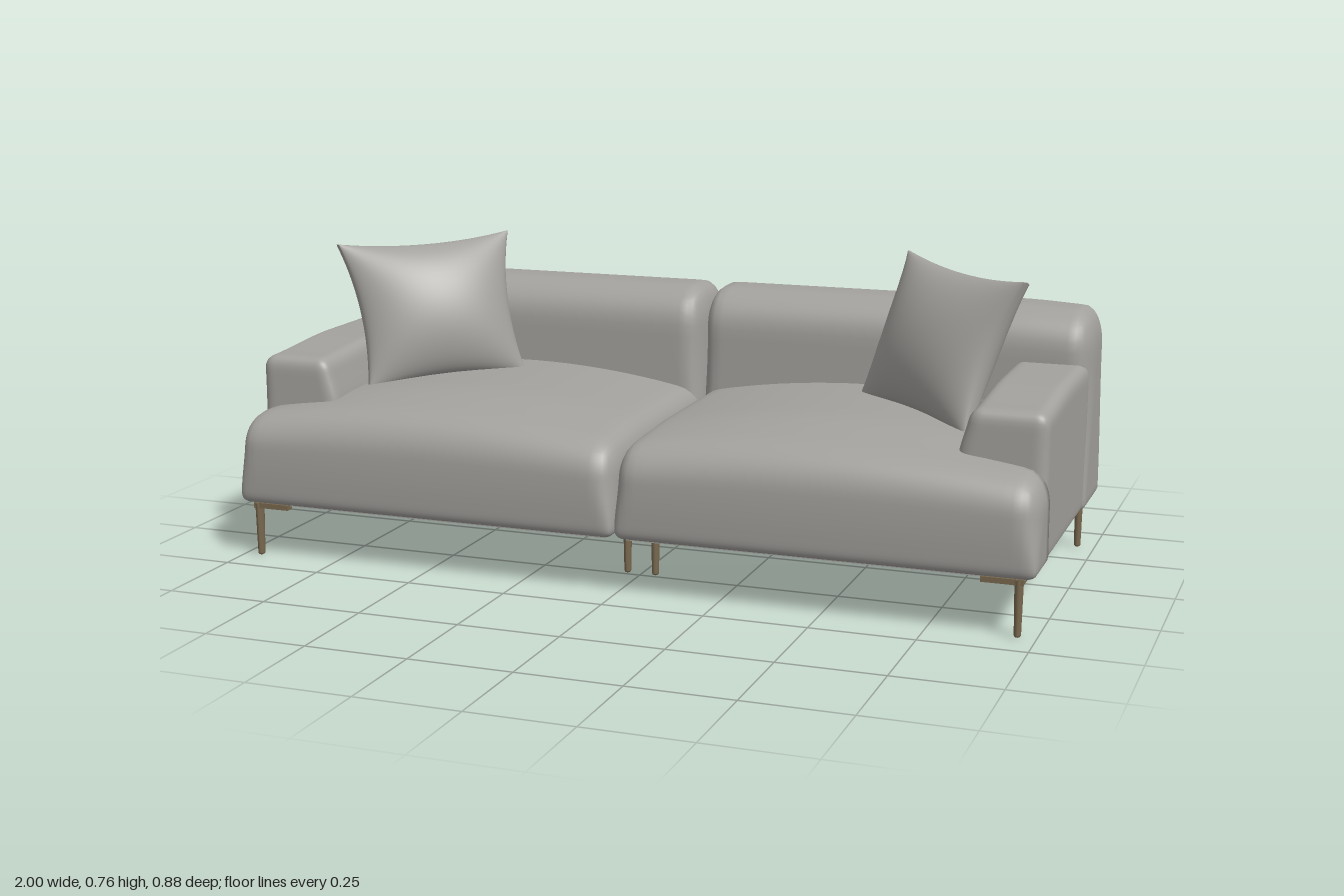
import * as THREE from 'three';
import { mergeVertices } from 'three/addons/utils/BufferGeometryUtils.js';

const fabric = new THREE.MeshStandardMaterial({ color: 0xa3a19d });
fabric.name = 'grey fabric';
const bronze = new THREE.MeshStandardMaterial({ color: 0x78684f });
bronze.name = 'bronze metal';

const { clamp, lerp, smoothstep } = THREE.MathUtils;

// Weld a geometry, move each vertex by a rule, then smooth its normals.
function shape(geometry, rule) {
  geometry.deleteAttribute('uv');
  geometry.deleteAttribute('normal');
  const geo = mergeVertices(geometry, 1e-5);
  const pos = geo.attributes.position;
  const p = new THREE.Vector3();
  for (let i = 0; i < pos.count; i++) {
    rule(p.fromBufferAttribute(pos, i));
    pos.setXYZ(i, p.x, p.y, p.z);
  }
  geo.computeVertexNormals();
  return geo;
}

// Upholstered block between two corners, with separate edge radii at top and bottom.
function softBox(min, max, topRadii, bottomRadii, rule = () => {}) {
  const half = max.map((v, i) => (v - min[i]) / 2);
  const mid = max.map((v, i) => (v + min[i]) / 2);
  return shape(new THREE.BoxGeometry(2, 2, 2, 32, 24, 28), (p) => {
    // gather the grid lines near the edges so the corners stay round
    const q = p.toArray().map((v) => Math.sin(v * Math.PI / 2));
    const t = smoothstep(q[1], -1, 0.5);
    const r = topRadii.map((v, i) => lerp(bottomRadii[i], v, t));
    const core = q.map((v, i) => clamp(v * half[i], r[i] - half[i], half[i] - r[i]));
    const off = q.map((v, i) => (v * half[i] - core[i]) / r[i]);
    const len = Math.hypot(...off) || 1;
    p.fromArray(core.map((v, i) => mid[i] + v + (off[i] / len) * r[i]));
    rule(p);
  });
}

// Mirror a geometry across x = 0, keeping its faces outward.
function mirrored(geometry) {
  const geo = geometry.clone();
  geo.scale(-1, 1, 1);
  const idx = geo.index;
  for (let i = 0; i < idx.count; i += 3) {
    const a = idx.getX(i);
    idx.setX(i, idx.getX(i + 2));
    idx.setX(i + 2, a);
  }
  geo.computeVertexNormals();
  return geo;
}

// Seat: crowned cushion, drawn in where it runs beneath the arm.
function seatGeometry() {
  return softBox([0, 0.137, -0.3], [1, 0.355, 0.437], [0.05, 0.075, 0.08], [0.025, 0.025, 0.02], (p) => {
    const up = smoothstep(p.y, 0.2, 0.355);
    const across = Math.max(0, 1 - ((p.x - 0.45) / 0.55) ** 2);
    const depth = smoothstep(p.z, 0.16, 0.5);
    p.y += up * (across * lerp(0.072, 0.03, depth) - 0.01 * (1 - p.x));
    if (p.z > 0) p.z += 0.006 * Math.sin((p.y - 0.137) / 0.22 * Math.PI) - 0.003;
    if (p.z < 0.29 && p.x > 0.85) p.x = 0.85 + (p.x - 0.85) * 0.3;
  });
}

// Backrest: domed top, rear face leaning in towards the floor.
function backGeometry() {
  return softBox([0, 0.137, -0.44], [1, 0.635, -0.183], [0.045, 0.1, 0.105], [0.03, 0.02, 0.03], (p) => {
    const rear = clamp((-0.183 - p.z) / 0.257, 0, 1);
    p.z += 0.04 * rear * (1 - smoothstep(p.y, 0.08, 0.5));
    p.y -= 0.008 * smoothstep(p.x, 0.8, 1) * smoothstep(p.y, 0.4, 0.63);
  });
}

// Arm: low block with an inward-leaning inner face and a gently sloping top.
function armGeometry() {
  return softBox([0.785, 0.137, -0.24], [0.993, 0.505, 0.31], [0.035, 0.035, 0.025], [0.02, 0.02, 0.015], (p) => {
    const up = smoothstep(p.y, 0.36, 0.505);
    p.x += 0.025 * up * clamp((0.993 - p.x) / 0.208, 0, 1);
    p.y -= 0.016 * up * smoothstep(p.z, 0, 0.31);
  });
}

// Pillow: pinched square spanned between four corners, full in the middle.
function pillowGeometry() {
  const v = (x, y, z) => new THREE.Vector3(x, y, z);
  const bottomIn = v(0.455, 0.405, -0.105), bottomOut = v(0.775, 0.385, 0.155);
  const topIn = v(0.545, 0.758, -0.203), topOut = v(0.89, 0.742, 0.085);
  const normal = v(-0.59, 0.41, 0.7).normalize();
  return shape(new THREE.BoxGeometry(2, 2, 2, 28, 28, 2), (p) => {
    const a = Math.sin(p.x * Math.PI / 2), b = Math.sin(p.y * Math.PI / 2), side = p.z;
    const rim = 1 + 0.012 * (1 - side * side);
    const s = (a * rim * (1 - 0.11 * (1 - b * b)) + 1) / 2;
    const t = (b * rim * (1 - 0.1 * (1 - a * a)) + 1) / 2;
    const thick = 0.009 + 0.078 * Math.pow((1 - a * a) * (1 - b * b), 0.6);
    const low = bottomIn.clone().lerp(bottomOut, s);
    const high = topIn.clone().lerp(topOut, s);
    p.copy(low.lerp(high, t)).addScaledVector(normal, side * thick);
  });
}

function plate(x0, x1, y0, y1, z0, z1) {
  const geo = new THREE.BoxGeometry(x1 - x0, y1 - y0, z1 - z0);
  geo.translate((x0 + x1) / 2, (y0 + y1) / 2, (z0 + z1) / 2);
  return geo;
}

export function createModel() {
  const model = new THREE.Group();
  model.name = 'twoSeatSofa';

  const left = new THREE.Group();
  const right = new THREE.Group();
  left.name = 'leftHalf';
  right.name = 'rightHalf';
  model.add(left, right);

  const addPair = (name, geometry, material) => {
    [[left, geometry], [right, mirrored(geometry)]].forEach(([group, geo]) => {
      const mesh = new THREE.Mesh(geo, material);
      mesh.name = name;
      group.add(mesh);
    });
  };

  addPair('seat', seatGeometry(), fabric);
  addPair('backrest', backGeometry(), fabric);
  addPair('arm', armGeometry(), fabric);
  addPair('pillow', pillowGeometry(), fabric);

  // Underside: base board and a slightly lowered centre panel
  addPair('baseBoard', plate(0.025, 0.97, 0.132, 0.145, -0.385, 0.405), fabric);
  addPair('basePanel', plate(0.12, 0.85, 0.127, 0.133, -0.25, 0.3), fabric);

  // Legs: [x, z, inward x, inward z], each under a corner bracket
  const legs = [
    ['frontOuterLeg', 0.957, 0.406, -1, -1],
    ['frontInnerLeg', 0.036, 0.236, 1, -1],
    ['backOuterLeg', 0.957, -0.366, -1, 1],
    ['backInnerLeg', 0.036, -0.366, 1, 1],
  ];
  for (const [name, x, z, sx, sz] of legs) {
    const post = new THREE.CylinderGeometry(0.0135, 0.0105, 0.128, 16);
    post.scale(0.78, 1, 1);
    post.translate(x, 0.07, z);
    addPair(name, post, bronze);

    const foot = new THREE.SphereGeometry(0.0105, 16, 8);
    foot.scale(0.78, 0.6, 1);
    foot.translate(x, 0.0063, z);
    addPair(name + 'Tip', foot, bronze);

    const span = (c, s) => [Math.min(c - s * 0.011, c + s * 0.085), Math.max(c - s * 0.011, c + s * 0.085)];
    const [x0, x1] = span(x, sx);
    const [z0, z1] = span(z, sz);
    addPair(name + 'BracketAcross', plate(x0, x1, 0.123, 0.136, z - 0.011, z + 0.011), bronze);
    addPair(name + 'BracketAlong', plate(x - 0.011, x + 0.011, 0.1225, 0.1355, z0, z1), bronze);
  }

  return model;
}
